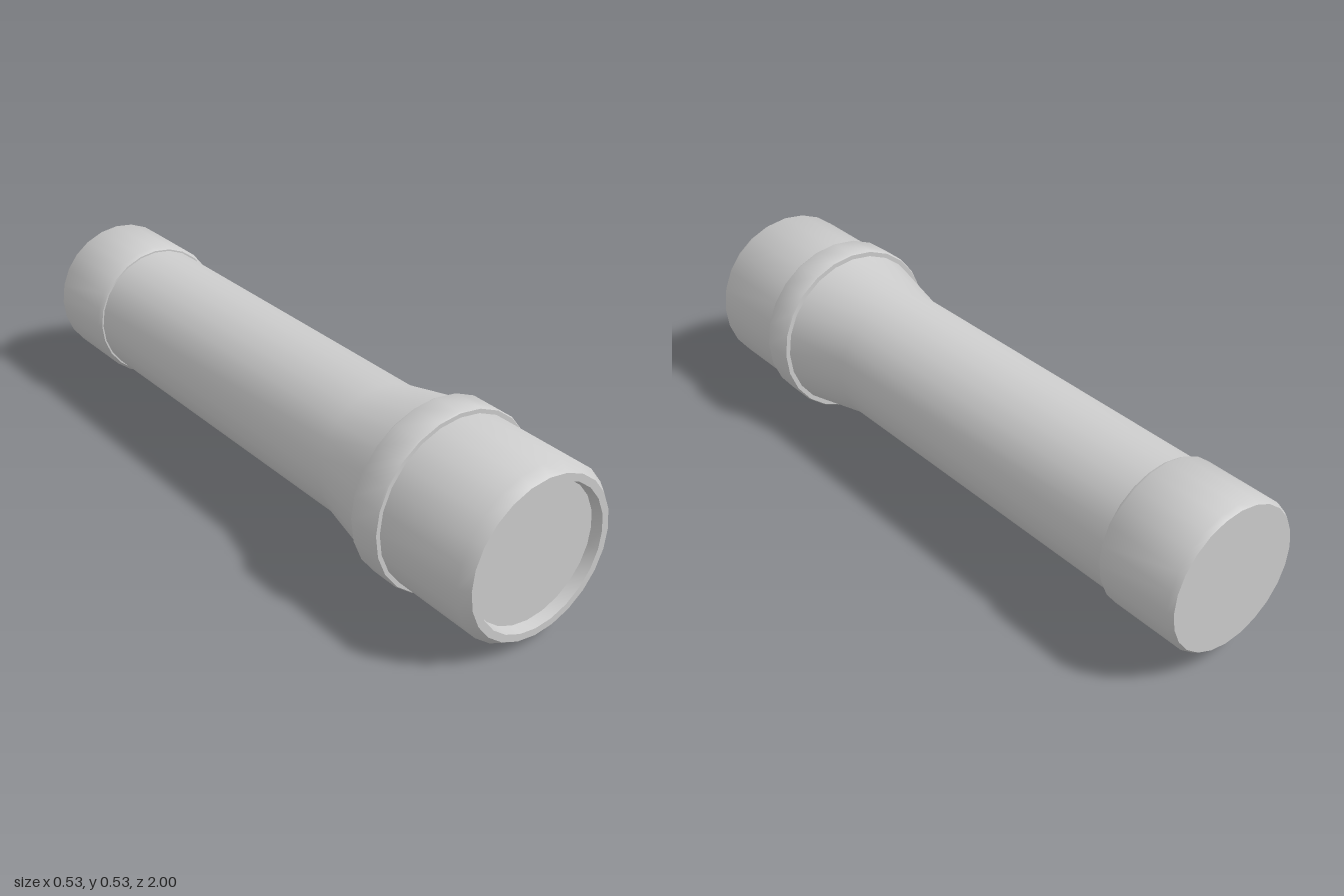
import * as THREE from 'three';
import { toCreasedNormals } from 'three/addons/utils/BufferGeometryUtils.js';

const SIDES = 24;
const AXIS_HEIGHT = 0.263;

export function createModel() {
  const group = new THREE.Group();
  group.name = 'flashlight';
  const material = new THREE.MeshStandardMaterial({ color: 0xcccccc });

  const add = (name, geometry) => {
    const mesh = new THREE.Mesh(geometry, material);
    mesh.name = name;
    mesh.position.y = AXIS_HEIGHT;
    group.add(mesh);
  };

  // Turned part along z: profile of [radius, z] running from back to front
  const turned = (name, profile) => {
    const points = profile.map(([r, z]) => new THREE.Vector2(r, z));
    const geometry = new THREE.LatheGeometry(points, SIDES).rotateX(Math.PI / 2);
    add(name, toCreasedNormals(geometry, THREE.MathUtils.degToRad(50)));
  };

  // Chamfered end cap
  turned('tailCap', [[0, -1], [0.206, -1], [0.215, -0.985], [0.215, -0.757], [0.207, -0.745], [0.195, -0.745]]);

  // Handle tube flaring out towards the head
  turned('handle', [[0.202, -0.76], [0.202, 0.38], [0.248, 0.6]]);

  // Raised ring behind the head
  turned('collar', [[0.24, 0.592], [0.26, 0.592], [0.263, 0.597], [0.263, 0.685], [0.26, 0.69], [0.24, 0.69]]);

  // Head with a chamfered rim and a shallow recess
  turned('head', [[0.248, 0.68], [0.248, 0.97], [0.228, 1], [0.207, 1], [0.2, 0.97]]);

  // Flat lens at the bottom of the recess
  add('lens', new THREE.CircleGeometry(0.2, SIDES).translate(0, 0, 0.97));

  return group;
}
